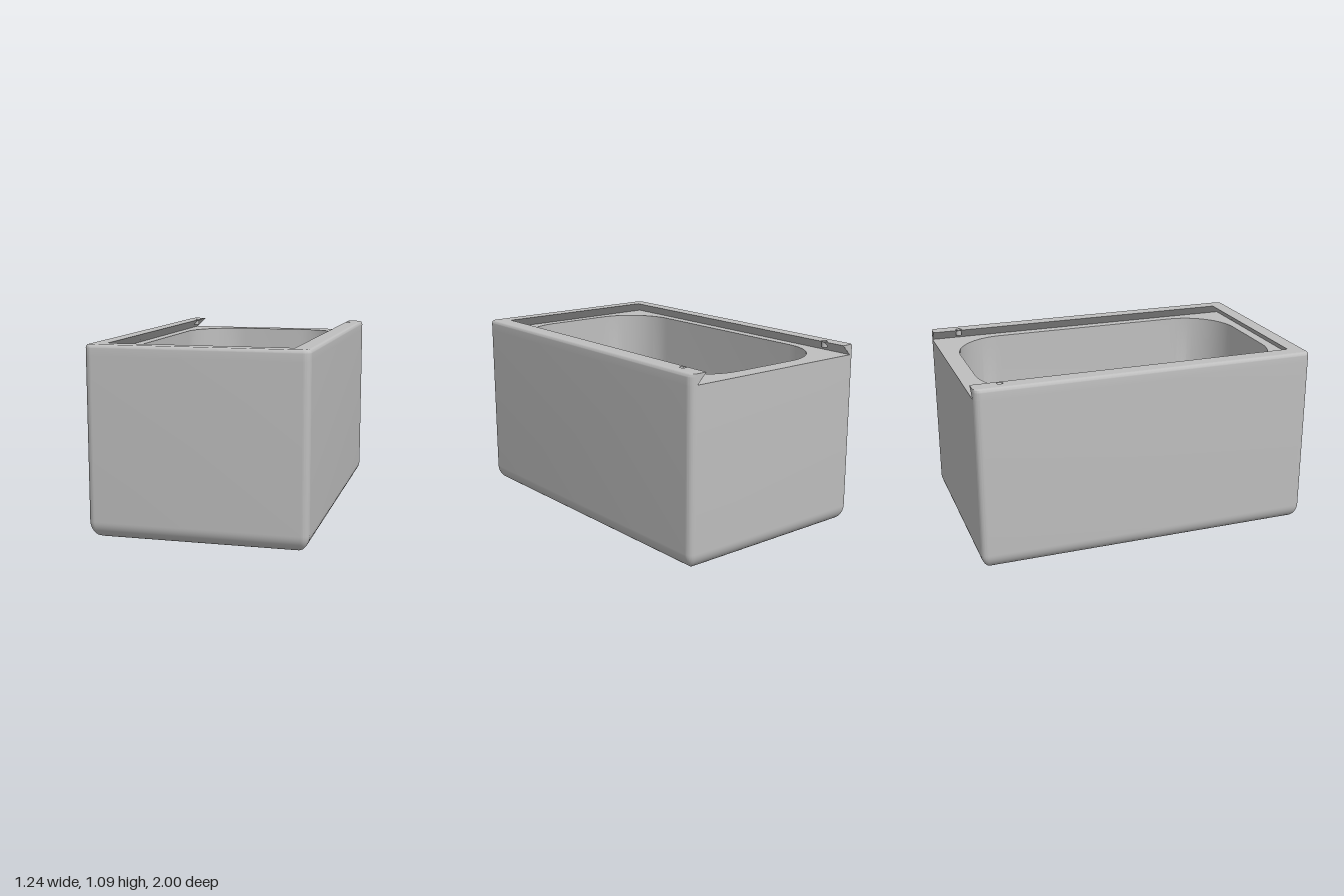
import * as THREE from 'three';
import { toCreasedNormals } from 'three/addons/utils/BufferGeometryUtils.js';

const HW = 0.62, HD = 1, TOP = 1.085;      // outer half width, half depth, height
const LEDGE = 1.025;                       // floor of the lid groove
const EDGE = 0.04, FOOT = 0.1, LIP = 0.02; // upright, bottom and top edge radii
const CAVITY = { hw: 0.52, hd: 0.9, r: 0.32, floor: 0.1 };
const HOLE = { x: 0.54, z: -0.84, r: 0.018 };
const ARC = 16;

// Rounded rectangle in the xz plane, from the back left corner round the front
function ring(hw, zBack, zFront, r, y) {
  const sx = [-1, -1, 1, 1], z0 = [-zBack + r, zFront - r, zFront - r, -zBack + r];
  const pts = [];
  for (let k = 0; k < 4; k++) {
    for (let i = 0; i <= ARC; i++) {
      const a = (Math.PI / 2) * (3 - k - i / ARC);
      pts.push(new THREE.Vector3(sx[k] * (hw - r) + r * Math.cos(a), y, z0[k] + r * Math.sin(a)));
    }
  }
  return pts;
}

// Surface through a list of rings
function loft(rings, closed) {
  const n = rings[0].length, index = [];
  for (let i = 0; i < rings.length - 1; i++) {
    for (let j = 0; j < (closed ? n : n - 1); j++) {
      const k = (j + 1) % n, a = i * n + j, b = i * n + k;
      index.push(a, b, b + n, a, b + n, a + n);
    }
  }
  const g = new THREE.BufferGeometry().setFromPoints(rings.flat());
  g.setIndex(index);
  return toCreasedNormals(g, 0.5);
}

const flat = (pts) => pts.map((p) => new THREE.Vector2(p.x, -p.z));
const centre = (pts, y) => pts.map(() => new THREE.Vector3(0, y, 0));
const corner = (inset) => Math.max(EDGE - inset, 0.001);

// Level face pointing up at height y
function plate(shape, y) {
  return new THREE.ShapeGeometry(shape, 24).rotateX(-Math.PI / 2).translate(0, y, 0);
}

export function createModel() {
  const group = new THREE.Group();
  const grey = new THREE.MeshStandardMaterial({ color: 0xbfbfbf, side: THREE.DoubleSide });
  grey.name = 'grey';
  const add = (name, geometry) => {
    const mesh = new THREE.Mesh(geometry, grey);
    mesh.name = name;
    group.add(mesh);
    return mesh;
  };

  // Outer walls with a rounded foot
  const shell = [];
  for (let i = 0; i <= 12; i++) {
    const a = (Math.PI / 2) * (i / 12), inset = FOOT * (1 - Math.sin(a));
    shell.push(ring(HW - inset, HD - inset, HD - inset, corner(inset), FOOT * (1 - Math.cos(a))));
  }
  shell.unshift(centre(shell[0], 0));
  const wallTop = ring(HW, HD, HD, EDGE, LEDGE);
  shell.push(wallTop);
  add('outerShell', loft(shell, true));

  // Cavity: upright walls running into a rounded trough floor
  const { hw, hd, r, floor } = CAVITY;
  const mouth = ring(hw, hd, hd, r, LEDGE);
  const rise = (d) => r - Math.sqrt(Math.max(0, r * r - (r - Math.min(d, r)) ** 2));
  const cavity = [mouth];
  for (let i = 0; i <= 16; i++) {
    const s = Math.cos((Math.PI / 2) * (i / 16));
    cavity.push(mouth.map((p) => {
      const qx = THREE.MathUtils.clamp(p.x, r - hw, hw - r);
      const qz = THREE.MathUtils.clamp(p.z, r - hd, hd - r);
      const x = qx + (p.x - qx) * s, z = qz + (p.z - qz) * s;
      const h = Math.max(rise(Math.max(0, hw - Math.abs(x))), rise(Math.max(0, hd - Math.abs(z))));
      return new THREE.Vector3(x, floor + h, z);
    }));
  }
  cavity.push(centre(mouth, floor));
  add('cavity', loft(cavity, true));

  // Ledge around the cavity, the floor of the lid groove
  const ledge = new THREE.Shape(flat(wallTop));
  ledge.holes.push(new THREE.Path(flat(mouth)));
  add('grooveFloor', plate(ledge, LEDGE));

  // U-shaped rim, open at the back
  const rimRing = (inset, y) => ring(HW - inset, HD, HD - inset, corner(inset), y);
  const outside = [rimRing(0, LEDGE)];
  for (let i = 0; i <= 6; i++) {
    const a = (Math.PI / 2) * (i / 6);
    outside.push(rimRing(LIP * (1 - Math.cos(a)), TOP - LIP + LIP * Math.sin(a)));
  }
  add('rimOutside', loft(outside, false));

  const innerTop = rimRing(0.1, TOP);
  add('rimUndercut', loft([innerTop, rimRing(0.04, LEDGE)], false));

  const top = new THREE.Shape([...flat(outside.at(-1)), ...flat(innerTop).reverse()]);
  for (const side of [-1, 1]) {
    top.holes.push(new THREE.Path().absarc(side * HOLE.x, -HOLE.z, HOLE.r, 0, Math.PI * 2, true));
  }
  add('rimTop', plate(top, TOP));

  // Rail ends and catch holes on both sides
  for (const side of [-1, 1]) {
    const end = new THREE.Shape([[0.58, LEDGE], [0.58, TOP], [0.52, TOP]]
      .map(([x, y]) => new THREE.Vector2(side * x, y)));
    add('railEnd', new THREE.ShapeGeometry(end).translate(0, 0, -HD));

    const depth = 0.035;
    add('catchHole', new THREE.CylinderGeometry(HOLE.r, HOLE.r, depth, 24, 1, true))
      .position.set(side * HOLE.x, TOP - depth / 2, HOLE.z);
    add('catchHoleFloor', new THREE.CircleGeometry(HOLE.r, 24).rotateX(-Math.PI / 2))
      .position.set(side * HOLE.x, TOP - depth, HOLE.z);
  }
  return group;
}
